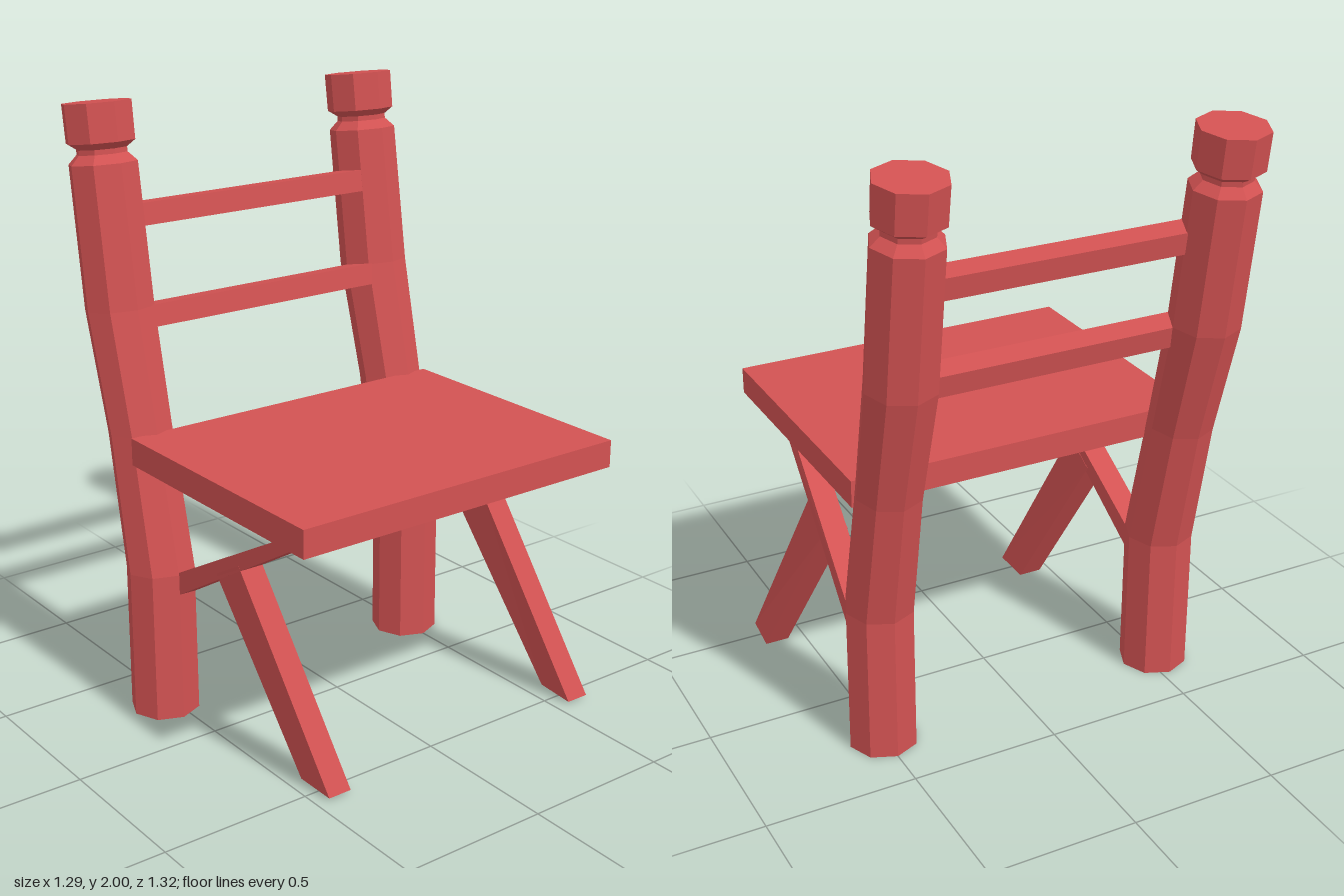
import * as THREE from 'three';

const material = new THREE.MeshStandardMaterial({ color: 0xd25252, flatShading: true });

function addMesh(group, geometry, name) {
  geometry.computeVertexNormals();
  const mesh = new THREE.Mesh(geometry, material);
  mesh.name = name;
  group.add(mesh);
  return mesh;
}

// Post rings from the floor up: [height, depth, radius, backward tilt]
const RINGS = [
  [0, -0.255, 0.115, 0],
  [0.505, -0.256, 0.114, 0.06],
  [0.95, -0.352, 0.107, 0.14],
  [1.34, -0.453, 0.115, 0.13],
  [1.797, -0.519, 0.113, 0.13],
  [1.826, -0.523, 0.083, 0.13],
  [1.842, -0.525, 0.083, 0.13],
  [1.862, -0.53, 0.113, 0.13],
  [1.985, -0.546, 0.114, 0.13],
];

// Bent octagonal post with a turned head
function postGeometry() {
  const n = RINGS.length - 1;
  const geometry = new THREE.CylinderGeometry(1, 1, 1, 8, n);
  const p = geometry.attributes.position;
  for (let i = 0; i < p.count; i++) {
    const [y, z, r, tilt] = RINGS[Math.round((p.getY(i) + 0.5) * n)];
    const forward = p.getZ(i) * r;
    p.setXYZ(i, p.getX(i) * r, y + forward * Math.sin(tilt), z + forward * Math.cos(tilt));
  }
  return geometry;
}

// Slanted bar of constant width; each corner is [x centre, y, z] on its side outline
function barGeometry(width, topFront, topBack, bottomFront, bottomBack) {
  const geometry = new THREE.BoxGeometry(width, 1, 1);
  const p = geometry.attributes.position;
  for (let i = 0; i < p.count; i++) {
    const front = p.getZ(i) > 0;
    const c = p.getY(i) > 0 ? (front ? topFront : topBack) : (front ? bottomFront : bottomBack);
    p.setXYZ(i, p.getX(i) + c[0], c[1], c[2]);
  }
  return geometry;
}

export function createModel() {
  const chair = new THREE.Group();
  chair.name = 'chair';

  // Back posts
  for (const [name, x] of [['rightPost', -0.53], ['leftPost', 0.5]]) {
    addMesh(chair, postGeometry(), name).position.x = x;
  }

  // Seat board
  const seat = addMesh(chair, new THREE.BoxGeometry(1.2, 0.09, 0.925), 'seat');
  seat.position.set(-0.015, 0.92, 0.1975);

  // Backrest rails
  for (const [name, y, z, tilt] of [['upperRail', 1.632, -0.457, 0.145], ['lowerRail', 1.311, -0.404, 0.18]]) {
    const rail = addMesh(chair, new THREE.BoxGeometry(0.92, 0.072, 0.085), name);
    rail.position.set(-0.015, y, z);
    rail.rotation.x = -tilt;
  }

  // Diagonal braces under the seat; the left one is skewed outward
  const sides = [
    { side: 'right', front: -0.49, back: -0.49, legTop: -0.49, footFront: -0.415, footBack: -0.415 },
    { side: 'left', front: 0.46, back: 0.545, legTop: 0.5, footFront: 0.59, footBack: 0.603 },
  ];
  for (const s of sides) {
    addMesh(chair, barGeometry(0.08,
      [s.front, 0.885, 0.52], [s.back, 0.49, -0.2],
      [s.front, 0.88, 0.59], [s.back, 0.41, -0.2]), s.side + 'Brace');

    // Front leg splayed down from the brace
    addMesh(chair, barGeometry(0.082,
      [s.legTop, 0.67, 0.205], [s.legTop, 0.6, 0.08],
      [s.footFront, 0.008, 0.565], [s.footBack, 0.008, 0.42]), s.side + 'FrontLeg');
  }
  return chair;
}
